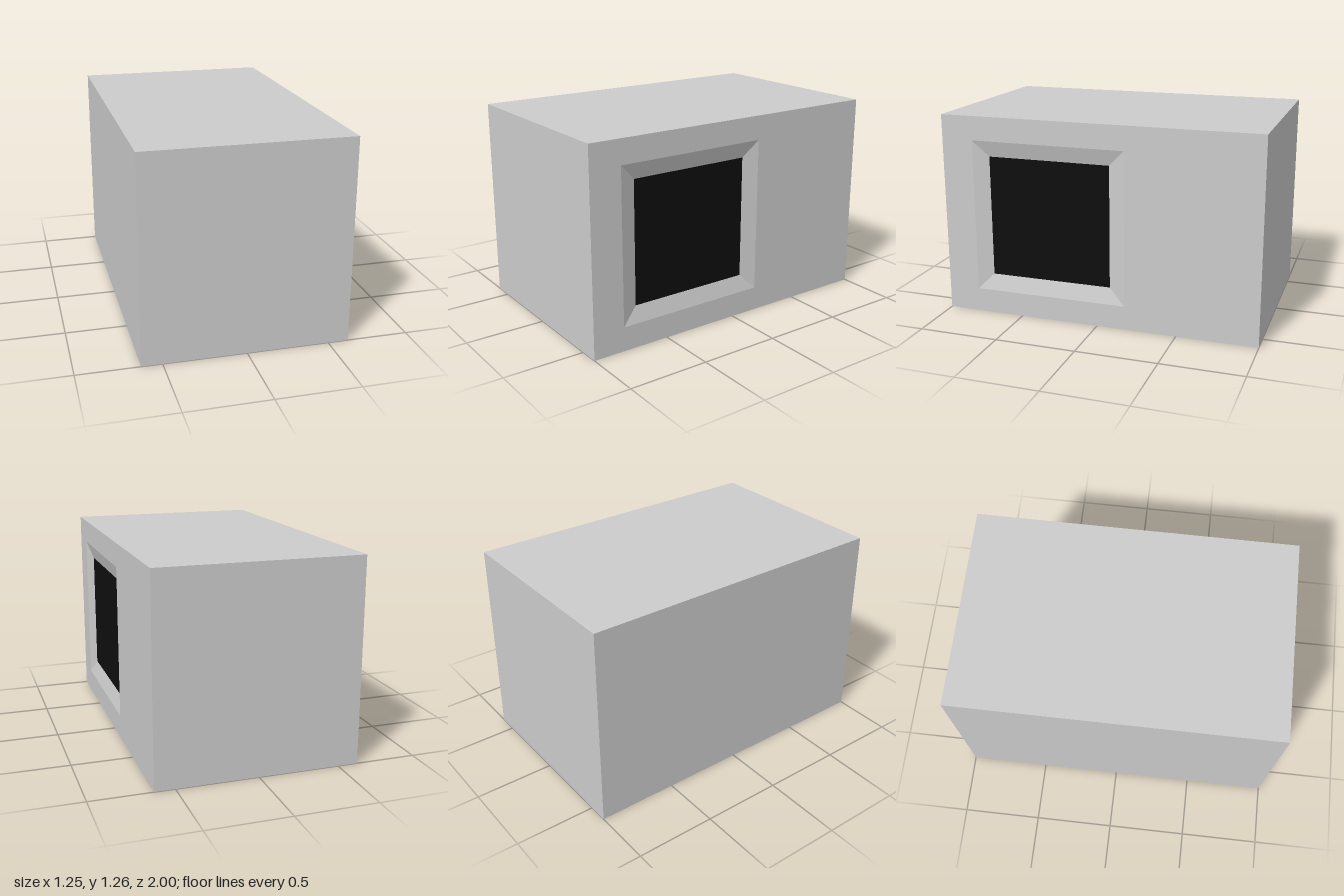
import * as THREE from 'three';

const W = 1.25, H = 1.26, L = 2, DEPTH = 0.03;

// Rectangle corners at height x, counter-clockwise seen from +x
const rect = (x, z0, z1, y0, y1) => [[x, y0, z1], [x, y0, z0], [x, y1, z0], [x, y1, z1]];

// Four flat quads joining an outer rectangle to an inner one, facing +x
function ring(outer, inner) {
  const pos = [];
  for (let i = 0; i < 4; i++) {
    const j = (i + 1) % 4;
    pos.push(...outer[i], ...outer[j], ...inner[j], ...outer[i], ...inner[j], ...inner[i]);
  }
  const geo = new THREE.BufferGeometry();
  geo.setAttribute('position', new THREE.Float32BufferAttribute(pos, 3));
  geo.computeVertexNormals();
  return geo;
}

export function createModel() {
  const group = new THREE.Group();
  const grey = new THREE.MeshStandardMaterial({ color: 0xcccccc });
  grey.name = 'grey wall';
  const black = new THREE.MeshStandardMaterial({ color: 0x0e0e0e });
  black.name = 'black panel';

  const add = (name, geo, mat) => {
    const mesh = new THREE.Mesh(geo, mat);
    mesh.name = name;
    group.add(mesh);
    return mesh;
  };

  // Block without its +x side, which holds the recess
  const body = new THREE.BoxGeometry(W, H, L);
  body.setIndex(Array.from(body.index.array).slice(6));
  body.clearGroups();
  add('body', body, grey).position.y = H / 2;

  // Side wall around the opening, then the bevel sloping inwards
  const edge = rect(W / 2, -L / 2, L / 2, 0, H);
  const opening = rect(W / 2, -0.175, 0.8, 0.15, 1.11);
  const floor = rect(W / 2 - DEPTH, -0.075, 0.7, 0.25, 1.01);
  add('sideWall', ring(edge, opening), grey);
  add('recessBevel', ring(opening, floor), grey);

  // Dark panel at the bottom of the recess
  const panel = new THREE.PlaneGeometry(0.775, 0.76).rotateY(Math.PI / 2);
  add('darkPanel', panel, black).position.set(W / 2 - DEPTH, 0.63, 0.3125);

  return group;
}
